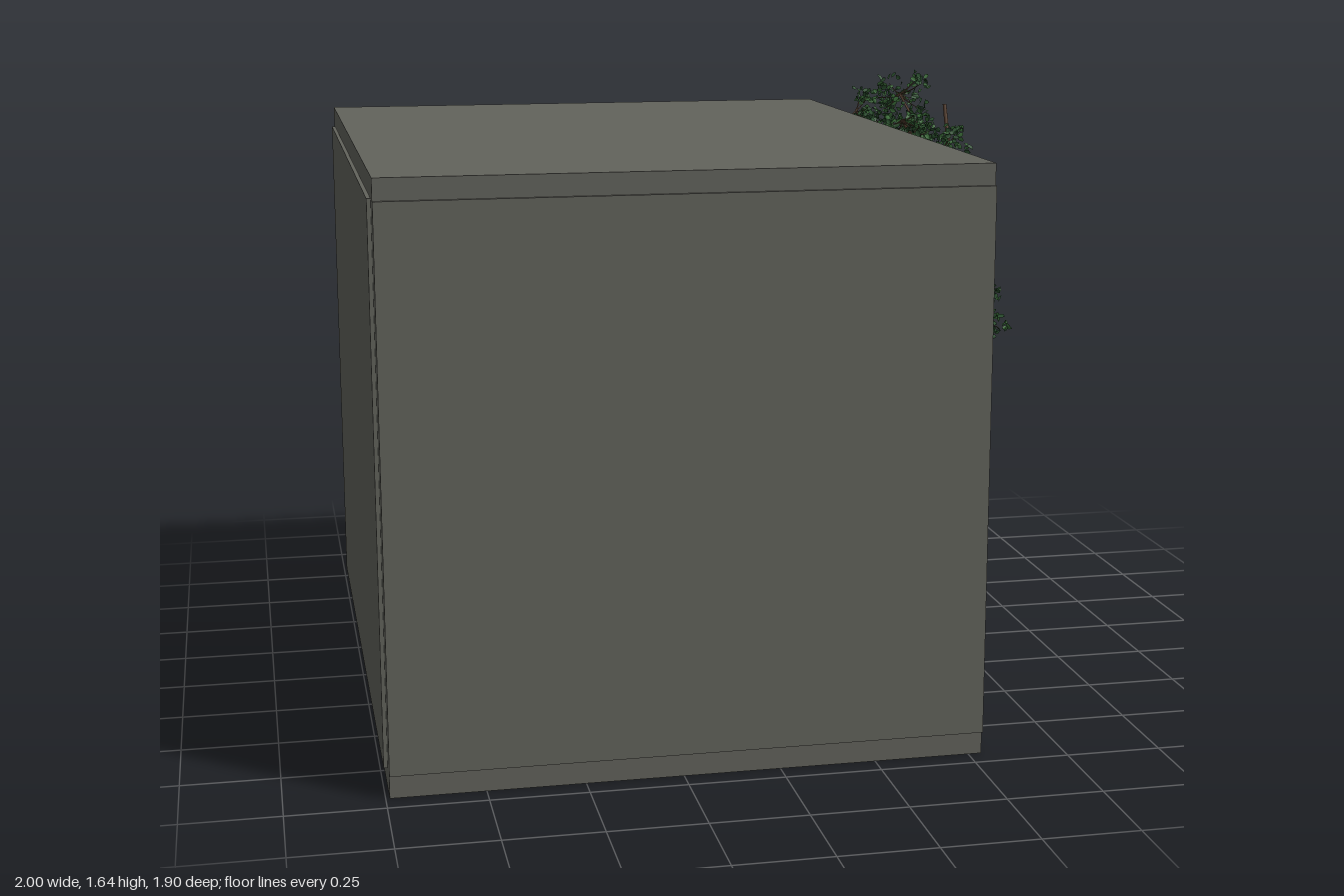
import * as THREE from 'three';
import { mergeGeometries } from 'three/addons/utils/BufferGeometryUtils.js';

const V = (x, y, z) => new THREE.Vector3(x, y, z);
const wallMat = new THREE.MeshStandardMaterial({ color: 0x62635c });
const barkMat = new THREE.MeshStandardMaterial({ color: 0x5e4635 });
const leafMats = [0x3c6e3a, 0x2c5230].map(color => new THREE.MeshStandardMaterial({ color, side: THREE.DoubleSide }));

let seed = 7;
const rand = () => (seed = (seed * 16807) % 2147483647) / 2147483647;
const spread = r => (rand() * 2 - 1) * r;

// Box given by its lower and upper corners
function slab(name, [x0, y0, z0], [x1, y1, z1]) {
  const mesh = new THREE.Mesh(new THREE.BoxGeometry(x1 - x0, y1 - y0, z1 - z0), wallMat);
  mesh.position.set((x0 + x1) / 2, (y0 + y1) / 2, (z0 + z1) / 2);
  mesh.name = name;
  return mesh;
}

// Tapered tube along a curve
function limb(curve, r0, r1, segments, sides) {
  const geo = new THREE.TubeGeometry(curve, segments, 1, sides);
  const pos = geo.attributes.position, nor = geo.attributes.normal;
  for (let i = 0; i < pos.count; i++) {
    const t = Math.floor(i / (sides + 1)) / segments;
    const n = V(0, 0, 0).fromBufferAttribute(nor, i);
    const p = curve.getPointAt(t).addScaledVector(n, r0 + (r1 - r0) * t);
    pos.setXYZ(i, p.x, p.y, p.z);
  }
  return geo;
}

// Curve between two points that sags in the middle
const sagging = (a, b, sag) =>
  new THREE.QuadraticBezierCurve3(a, a.clone().lerp(b, 0.5).add(V(0, -sag, 0)), b);

// Small oval leaf folded along its midrib
function leaf(at, size) {
  const geo = new THREE.CircleGeometry(1, 6);
  const pos = geo.attributes.position;
  for (let i = 0; i < pos.count; i++) pos.setZ(i, Math.abs(pos.getY(i)) * 0.35);
  geo.scale(size, size * 0.65, size);
  geo.rotateX(spread(1.2)).rotateZ(spread(1)).rotateY(spread(Math.PI));
  geo.translate(at.x, at.y, at.z);
  geo.computeVertexNormals();
  return geo;
}

function createHouse() {
  const house = new THREE.Group();
  house.name = 'house';
  const low = 0.06, high = 1.48, xi = 0.48, xo = 0.545;
  house.add(
    slab('floorSlab', [-0.99, 0, -0.94], [0.535, low, 0.94]),
    slab('roofSlab', [-0.99, high, -0.94], [0.535, 1.535, 0.94]),
    slab('frontWall', [-0.99, low, 0.89], [0.535, high, 0.95]),
    slab('backWall', [-0.99, low, -0.95], [0.535, high, -0.89]),
    slab('rightWall', [-1, low, -0.888], [-0.935, high, 0.888]),
    // Wall with the long window opening
    slab('windowWallBase', [xi, low, -0.888], [xo, 0.88, 0.888]),
    slab('windowWallHeader', [xi, 1.39, -0.888], [xo, high, 0.888]),
    slab('windowWallFrontPier', [xi, 0.88, 0.4], [xo, 1.39, 0.888]),
    slab('windowWallBackPier', [xi, 0.88, -0.888], [xo, 1.39, -0.75]));
  return house;
}

// Three tiers of growth: the fork on the trunk, the far end of the main
// branch, and the middles of the other leaf clumps
const lowerTier = {
  fork: V(0.955, 0.68, -0.625), end: V(0.69, 1.03, -0.01),
  clumps: [V(0.83, 0.98, -0.04), V(0.73, 0.93, -0.14), V(0.84, 0.88, -0.45), V(0.68, 0.92, -0.42)],
};
const middleTier = {
  fork: V(0.945, 1.01, -0.613), end: V(0.66, 1.28, 0),
  clumps: [V(0.7, 1.24, -0.1), V(0.83, 1.19, -0.26), V(0.64, 1.18, -0.31), V(0.7, 1.11, -0.42), V(0.86, 1.12, -0.47), V(0.8, 1.19, -0.77)],
};
const upperTier = {
  fork: V(0.923, 1.33, -0.638), end: V(0.61, 1.54, -0.13),
  clumps: [V(0.65, 1.48, -0.22), V(0.8, 1.43, -0.33), V(0.63, 1.4, -0.43), V(0.77, 1.36, -0.48), V(0.79, 1.56, -0.77), V(0.64, 1.51, -0.75), V(0.74, 1.44, -0.69)],
};

function createTree() {
  const tree = new THREE.Group();
  tree.name = 'tree';
  const add = (name, geos, mat) => {
    const mesh = new THREE.Mesh(mergeGeometries(geos), mat);
    mesh.name = name;
    tree.add(mesh);
  };
  // The trunk runs through the forks
  const base = V(0.98, 0.06, -0.657), tiers = [lowerTier, middleTier, upperTier];
  const trunk = new THREE.CatmullRomCurve3([base, ...tiers.map(t => t.fork), V(0.908, 1.535, -0.668)]);
  const foot = new THREE.CircleGeometry(0.017, 8).rotateX(Math.PI / 2).translate(base.x, base.y, base.z);
  add('trunk', [limb(trunk, 0.017, 0.006, 24, 8), foot], barkMat);

  const wood = [], twigs = [], leaves = [[], []];

  // Twigs fan out from the middle of a clump and carry tufts of leaves
  function clump(c, size, count) {
    for (let i = 0; i < count; i++) {
      const dir = V(spread(1), spread(1), spread(1));
      if (dir.length() > 1) dir.normalize();
      const tip = c.clone().add(dir.multiply(V(size, size * 0.8, size)));
      twigs.push(limb(sagging(c, tip, 0.01), 0.0025, 0.001, 3, 4));
      for (let k = 0; k < 13; k++) {
        const at = tip.clone().add(V(spread(0.03), spread(0.025), spread(0.03)));
        leaves[k % 2].push(leaf(at, 0.008 + rand() * 0.005));
      }
    }
  }

  for (const { fork, end, clumps } of tiers) {
    const main = sagging(fork, end, 0.06);
    wood.push(limb(main, 0.011, 0.004, 10, 6));
    clump(end, 0.06, 8);
    for (const c of clumps) {
      // Each side branch leaves the main one well before its clump
      const points = main.getPoints(20);
      const dist = points.map(p => p.distanceTo(c));
      const from = points[Math.floor(dist.indexOf(Math.min(...dist)) * 0.6)];
      wood.push(limb(sagging(from, c, 0.03), 0.007, 0.003, 6, 6));
      clump(c, 0.085, 11);
    }
  }
  add('branches', wood, barkMat);
  add('twigs', twigs, barkMat);
  add('lightLeaves', leaves[0], leafMats[0]);
  add('darkLeaves', leaves[1], leafMats[1]);
  return tree;
}

export function createModel() {
  seed = 7;
  const model = new THREE.Group();
  model.name = 'houseWithTree';
  model.add(createHouse(), createTree());
  return model;
}
